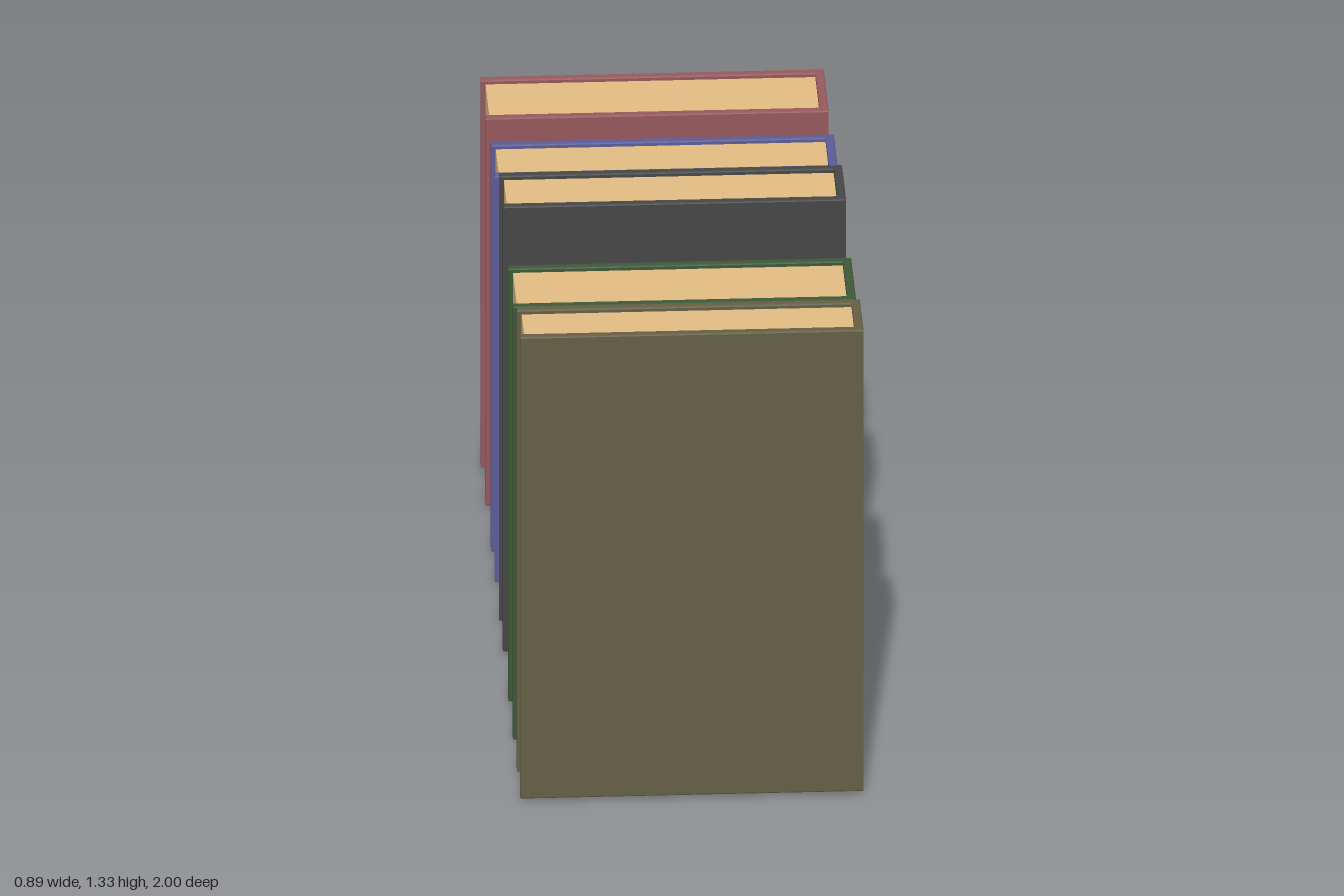
import * as THREE from 'three';

const HALF_W = 0.445;  // half the cover width
const BOARD = 0.023;   // cover thickness
const BEVEL = 0.004;   // softened cover edges
const INSET = 0.012;   // how far the pages sit inside the cover

// U-shaped cover: two boards joined by the spine at +x, extruded upward
function coverGeometry(thickness, height) {
  const h = thickness / 2, i = h - BOARD;
  const outline = [
    [-HALF_W, -h], [HALF_W, -h], [HALF_W, h], [-HALF_W, h],
    [-HALF_W, i], [HALF_W - BOARD, i], [HALF_W - BOARD, -i], [-HALF_W, -i],
  ].map(([x, y]) => new THREE.Vector2(x, y));
  const geometry = new THREE.ExtrudeGeometry(new THREE.Shape(outline), {
    depth: height - 2 * BEVEL,
    bevelThickness: BEVEL, bevelSize: BEVEL, bevelOffset: -BEVEL, bevelSegments: 2,
  });
  return geometry.translate(0, 0, BEVEL).rotateX(-Math.PI / 2);
}

function makeBook(name, color, z0, z1, y0, y1, pageMaterial) {
  const book = new THREE.Group();
  book.name = name;
  const thickness = z1 - z0, height = y1 - y0;

  const cover = new THREE.Mesh(coverGeometry(thickness, height), new THREE.MeshStandardMaterial({ color }));
  cover.name = 'cover';

  // Page block, tucked slightly into the cover so no gap shows
  const left = -HALF_W + INSET, right = HALF_W - BOARD + 0.002;
  const pages = new THREE.Mesh(
    new THREE.BoxGeometry(right - left, height - 2 * INSET, thickness - 2 * BOARD + 0.004),
    pageMaterial,
  );
  pages.name = 'pages';
  pages.position.set((left + right) / 2, height / 2, 0);

  book.add(cover, pages);
  book.position.set(0, y0, (z0 + z1) / 2);
  return book;
}

export function createModel() {
  const model = new THREE.Group();
  model.name = 'bookRow';
  const pageMaterial = new THREE.MeshStandardMaterial({ color: 0xe0ba82 });

  // name, colour, back z, front z, bottom y, top y
  const books = [
    ['oliveBook', 0x655e44, 0.815, 1.0, 0.008, 1.335],
    ['greenBook', 0x3e5838, 0.38, 0.63, 0, 1.245],
    ['greyBook', 0x464646, -0.08, 0.127, 0.01, 1.29],
    ['blueBook', 0x5b5b96, -0.488, -0.282, 0.013, 1.182],
    ['redBook', 0x96585b, -1.0, -0.75, 0.008, 1.122],
  ];
  for (const spec of books) model.add(makeBook(...spec, pageMaterial));
  return model;
}
